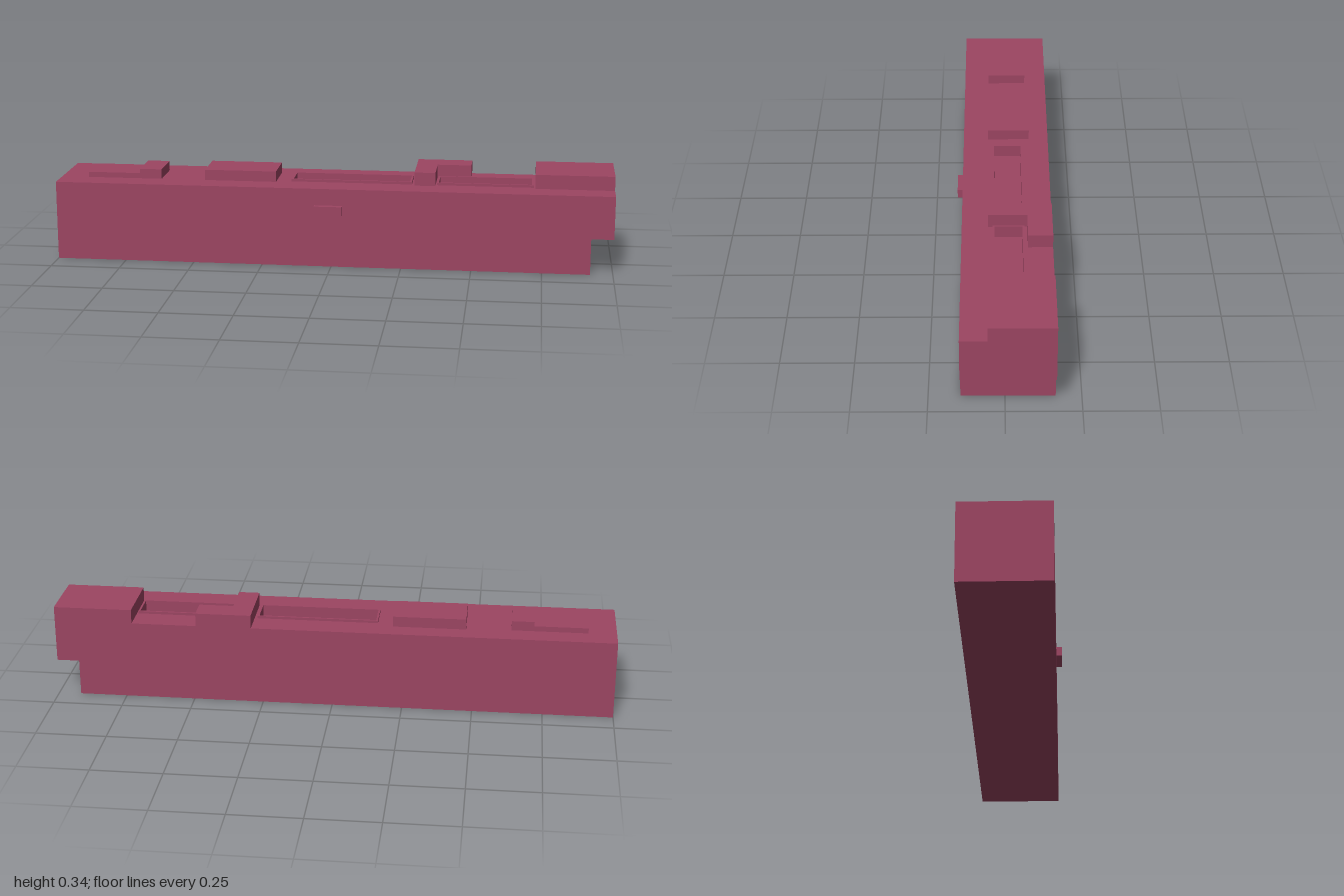
import * as THREE from 'three';

const FLOOR = 0.25, DECK = 0.285;

// Rectangles seen from above: [x0, x1, z0, z1]
const pockets = [[-0.155, 0.28, -0.07, 0.04], [0.37, 0.715, -0.07, 0.04]];
const inset = ([x0, x1, z0, z1], t) => [x0 + t, x1 - t, z0 + t, z1 - t];

function rectPath([x0, x1, z0, z1], Type) {
  const p = new Type();
  p.moveTo(x0, -z1);
  p.lineTo(x1, -z1);
  p.lineTo(x1, -z0);
  p.lineTo(x0, -z0);
  p.closePath();
  return p;
}

// Plate with rectangular holes, lying between heights y0 and y1
function plate(outer, holes, y0, y1) {
  const shape = rectPath(outer, THREE.Shape);
  holes.forEach((h) => shape.holes.push(rectPath(h, THREE.Path)));
  const geo = new THREE.ExtrudeGeometry(shape, { depth: y1 - y0, bevelEnabled: false });
  return geo.rotateX(-Math.PI / 2).translate(0, y0, 0);
}

function block([x0, x1, z0, z1], y0, y1) {
  return new THREE.BoxGeometry(x1 - x0, y1 - y0, z1 - z0)
    .translate((x0 + x1) / 2, (y0 + y1) / 2, (z0 + z1) / 2);
}

export function createModel() {
  const group = new THREE.Group();
  const material = new THREE.MeshStandardMaterial({ color: 0x9c4562 });
  const add = (name, geometry) => {
    const mesh = new THREE.Mesh(geometry, material);
    mesh.name = name;
    group.add(mesh);
  };

  // Long body, stepped under its left end
  const profile = new THREE.Shape([
    [-1, 0], [0.92, 0], [0.92, 0.13], [1, 0.13], [1, FLOOR], [-1, FLOOR],
  ].map(([x, y]) => new THREE.Vector2(x, y)));
  add('body', new THREE.ExtrudeGeometry(profile, { depth: 0.31, bevelEnabled: false })
    .translate(0, 0, -0.165));

  // Deck with two sunken pockets, each with a thin raised rim
  const wells = pockets.map((p) => inset(p, 0.007));
  add('deck', plate([-1, 1, -0.165, 0.145], wells, FLOOR, DECK));
  pockets.forEach((p, i) => add('pocketRim', plate(p, [wells[i]], DECK, 0.294)));

  // Raised pads on the right half
  add('lowPad', block([-0.9, -0.71, -0.085, 0.055], DECK, 0.304));
  add('padStep', block([-0.71, -0.63, -0.085, 0.055], DECK, 0.32));
  add('middlePad', block([-0.47, -0.21, -0.095, 0.055], DECK, 0.323));

  // Bridge between the pockets with a short arm at the back
  add('bridge', block([0.29, 0.365, -0.165, 0.055], DECK, 0.333));
  add('bridgeArm', block([0.365, 0.488, -0.165, -0.08], DECK, 0.333));

  // Tall block on the left end
  add('endBlock', block([0.72, 1, -0.165, 0.055], DECK, 0.336));

  // Small button on the front side
  add('button', block([-0.06, 0.04, 0.145, 0.165], 0.192, 0.225));

  return group;
}
